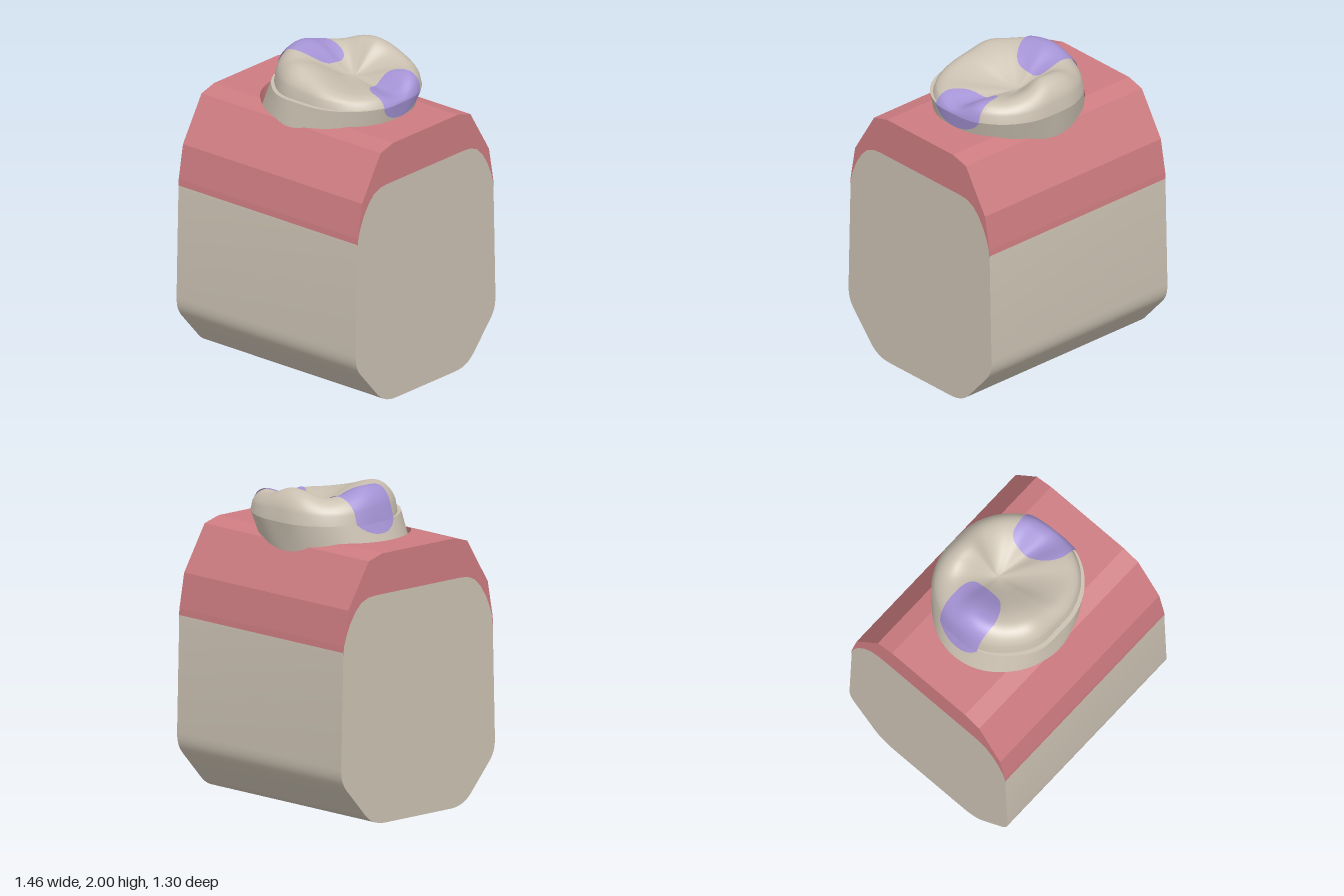
import * as THREE from 'three';
import { mergeVertices, toCreasedNormals } from 'three/addons/utils/BufferGeometryUtils.js';

const HALF = 0.73; // half length of the jaw block

// Surface from a grid of points; rows run outward, columns run from +x to +z
function grid(rows, cols, point) {
  const pos = [], index = [];
  for (let i = 0; i <= rows; i++)
    for (let j = 0; j <= cols; j++) pos.push(...point(i / rows, j / cols));
  for (let i = 0; i < rows; i++)
    for (let j = 0; j < cols; j++) {
      const a = i * (cols + 1) + j, b = a + 1, c = a + cols + 1, d = c + 1;
      index.push(a, b, c, b, d, c);
    }
  let g = new THREE.BufferGeometry();
  g.setAttribute('position', new THREE.Float32BufferAttribute(pos, 3));
  g.setIndex(index);
  g = mergeVertices(g, 1e-5);
  g.computeVertexNormals();
  return g;
}

// Smooth periodic interpolation of values spaced evenly round the tooth
function around(values, a) {
  const n = values.length, u = ((a / (2 * Math.PI)) % 1 + 1) % 1 * n, i = Math.floor(u), f = u - i;
  const [p, q, r, s] = [-1, 0, 1, 2].map(k => values[(i + k + n) % n]);
  return q + 0.5 * f * (r - p + f * (2 * p - 5 * q + 4 * r - s + f * (3 * (q - r) + s - p)));
}

// Crown outline radius and cusp height at 16 angles
const CX = 0.04, CZ = -0.05, RIM = 1.8;
const OUTLINE = [.46, .47, .46, .44, .42, .44, .44, .45, .45, .46, .46, .45, .43, .445, .46, .47];
const CUSPS = [1.825, 1.86, 1.87, 1.90, 1.94, 1.97, 1.97, 1.99, 1.995, 1.96, 1.95, 1.985, 1.99, 1.94, 1.91, 1.90];

// Chewing surface: central pit rising to the cusp ridge, then a rounded fall to the rim
function crownPoint(t, a) {
  const r = around(OUTLINE, a) * t, h = around(CUSPS, a);
  const ridge = 0.7 + 0.12 * Math.max(0, Math.cos(a));
  let y, shift = 0;
  if (t < ridge) {
    const u = t / ridge;
    y = 1.825 + (h - 1.825) * Math.pow(u * u * (3 - 2 * u), 0.85);
    shift = -0.07 * (1 - u);
  } else {
    const s = (t - ridge) / (1 - ridge);
    y = RIM + (h - RIM) * Math.sqrt(Math.max(0, 1 - s * s));
  }
  return [CX + r * Math.cos(a), y, CZ + shift + r * Math.sin(a)];
}

// Gum socket outline
const socket = { x: -0.012, z: -0.005, rx: 0.478, rz: 0.435 };
const socketPoint = (a, y) => [socket.x + socket.rx * Math.cos(a), y, socket.z + socket.rz * Math.sin(a)];

// Neck of the tooth, blending from the crown rim to the socket
function neckPoint(s, a) {
  const r = around(OUTLINE, a) + 0.03 * Math.max(0, Math.sin(a));
  const top = [CX + r * Math.cos(a), RIM, CZ + r * Math.sin(a)];
  const low = socketPoint(a, 1.59);
  return top.map((v, k) => v + (low[k] - v) * s);
}

// Contact patch lying just over the crown and neck
function contactPatch(angle, t0, t1, width, shift) {
  return grid(40, 24, (u, v) => {
    const t = t0 + (t1 - t0) * (1 - Math.cos(u * Math.PI)) / 2;
    const r = around(OUTLINE, angle) * Math.min(t, 1);
    const w = width * Math.sin(u * Math.PI) * (2 * v - 1);
    const off = Math.cos(angle) * (w * Math.cos(angle) + shift);
    const a = angle + Math.asin(THREE.MathUtils.clamp(off / r, -0.95, 0.95));
    const p = t <= 1 ? crownPoint(t, a) : neckPoint(t - 1, a);
    return [p[0] + 0.006 * Math.cos(a), p[1] + 0.005, p[2] + 0.006 * Math.sin(a)];
  });
}

// Upper bone edge from outer side to the top, as [z, y]
const BONE_TOP = [[.632, 1.1], [.625, 1.16], [.606, 1.22], [.575, 1.29], [.53, 1.36], [.48, 1.41], [.42, 1.435], [.36, 1.44]];
// Gum profile as [z, y]
const GUM = [[.634, 1.12], [.63, 1.16], [.59, 1.38], [.417, 1.663], [.3, 1.695]];

function boneGeometry() {
  const half = new THREE.Path();
  half.moveTo(0.27, 0);
  half.bezierCurveTo(0.36, 0, 0.41, 0.03, 0.45, 0.075);
  half.lineTo(0.60, 0.245);
  half.bezierCurveTo(0.64, 0.29, 0.65, 0.33, 0.65, 0.39);
  const right = half.getPoints(10).concat(BONE_TOP.map(p => new THREE.Vector2(...p)));
  const left = right.map(p => new THREE.Vector2(-p.x, p.y)).reverse();
  const g = new THREE.ExtrudeGeometry(new THREE.Shape(right.concat(left)), { depth: 2 * HALF, bevelEnabled: false });
  g.translate(0, 0, -HALF).rotateY(Math.PI / 2);
  return toCreasedNormals(g, 0.5);
}

// Gum height at a given z
function gumY(z) {
  const d = Math.abs(z);
  for (let i = 0; i < GUM.length - 1; i++) {
    const [z0, y0] = GUM[i], [z1, y1] = GUM[i + 1];
    if (d >= z1) return y0 + (y1 - y0) * (d - z0) / (z1 - z0);
  }
  return GUM[GUM.length - 1][1];
}

// Gum skin: strips along x, split around the socket
function gumGeometry() {
  const zs = GUM.flatMap(([z]) => [z, -z]);
  for (let i = 0; i <= 64; i++) zs.push(socket.z - socket.rz * Math.cos(i / 64 * Math.PI));
  zs.sort((a, b) => a - b);
  const pos = [];
  const edge = z => socket.rx * Math.sqrt(Math.max(0, 1 - ((z - socket.z) / socket.rz) ** 2));
  for (let i = 0; i < zs.length - 1; i++) {
    const [z0, z1] = [zs[i], zs[i + 1]], y0 = gumY(z0), y1 = gumY(z1), e0 = edge(z0), e1 = edge(z1);
    for (const [a0, b0, a1, b1] of [[-HALF, socket.x - e0, -HALF, socket.x - e1], [socket.x + e0, HALF, socket.x + e1, HALF]])
      pos.push(a0, y0, z0, a1, y1, z1, b0, y0, z0, b0, y0, z0, a1, y1, z1, b1, y1, z1);
  }
  const g = new THREE.BufferGeometry();
  g.setAttribute('position', new THREE.Float32BufferAttribute(pos, 3));
  g.computeVertexNormals();
  return g;
}

// Gum cut face at the block ends
function gumEndGeometry() {
  const v = (list, s) => list.map(([z, y]) => new THREE.Vector2(s * z, y));
  const pts = [...v(GUM, 1), ...v(GUM, -1).reverse(), ...v(BONE_TOP, -1), ...v(BONE_TOP, 1).reverse()];
  return new THREE.ShapeGeometry(new THREE.Shape(pts));
}

export function createModel() {
  const model = new THREE.Group();
  const material = (name, color, side = THREE.FrontSide) => {
    const m = new THREE.MeshStandardMaterial({ color, side });
    m.name = name;
    return m;
  };
  const ivory = material('ivory', 0xcbc1b2);
  const pink = material('gumPink', 0xcd7c81, THREE.DoubleSide);
  const violet = material('contactViolet', 0xa594d6, THREE.DoubleSide);
  const add = (name, geometry, mat) => {
    const mesh = new THREE.Mesh(geometry, mat);
    mesh.name = name;
    model.add(mesh);
    return mesh;
  };
  const turn = 2 * Math.PI;

  // Jaw block
  add('jawBone', boneGeometry(), ivory);
  add('gum', gumGeometry(), pink);
  for (const side of [-1, 1]) {
    const end = add(side > 0 ? 'gumEndLeft' : 'gumEndRight', gumEndGeometry(), pink);
    end.rotation.y = side * Math.PI / 2;
    end.position.x = side * HALF;
  }
  add('socketWall', grid(6, 96, (u, v) => {
    const p = socketPoint(v * turn, 0);
    p[1] = THREE.MathUtils.lerp(gumY(p[2]), 1.56, u);
    return p;
  }), pink);

  // Tooth
  add('crown', grid(40, 128, (u, v) => crownPoint(u, v * turn)), ivory);
  add('toothNeck', grid(10, 96, (u, v) => neckPoint(u, v * turn)), ivory);
  add('neckLedge', grid(1, 96, (u, v) => {
    const p = neckPoint(0, v * turn), k = 0.88 + 0.12 * u;
    return [CX + (p[0] - CX) * k, RIM, CZ + (p[2] - CZ) * k];
  }), ivory);

  // Contact areas on both ends of the crown
  add('contactPatchRight', contactPatch(Math.PI, 0.25, 1.35, 0.16, 0), violet);
  add('contactPatchLeft', contactPatch(0, 0.45, 1.5, 0.175, -0.02), violet);
  return model;
}
